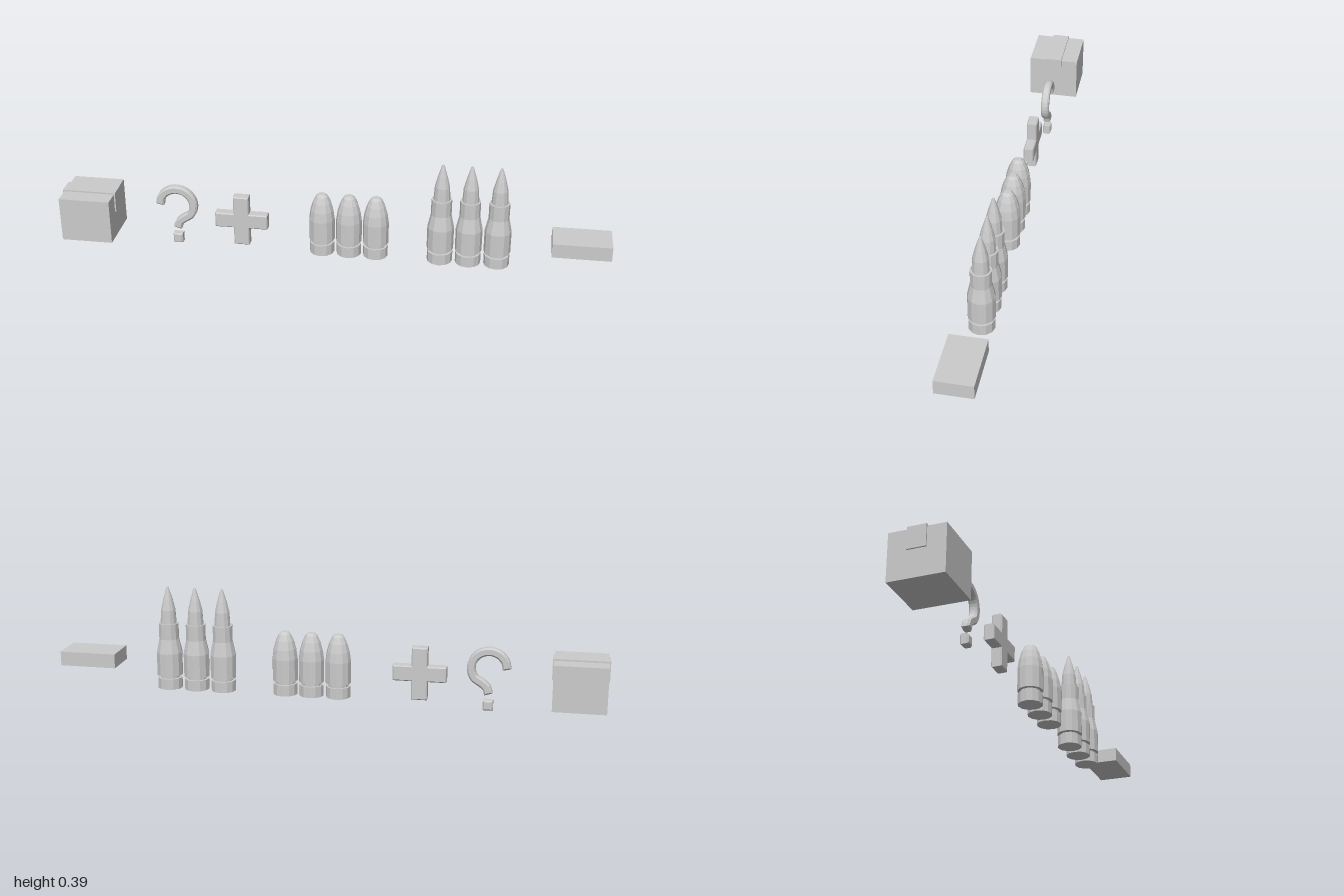
import * as THREE from 'three';

const material = new THREE.MeshStandardMaterial({ color: 0xcccccc, flatShading: true });

function part(name, geometry, x = 0, y = 0, z = 0) {
  const mesh = new THREE.Mesh(geometry, material);
  mesh.name = name;
  mesh.position.set(x, y, z);
  return mesh;
}

// Box given by its lower and upper corners
function block(name, [x0, y0, z0], [x1, y1, z1]) {
  return part(name, new THREE.BoxGeometry(x1 - x0, y1 - y0, z1 - z0),
    (x0 + x1) / 2, (y0 + y1) / 2, (z0 + z1) / 2);
}

// Chamfered extrusion centred on z; the outline keeps its full size
function chamfered(shape, depth, bevel) {
  const geometry = new THREE.ExtrudeGeometry(shape, {
    depth: depth - 2 * bevel, bevelEnabled: true, bevelSegments: 1,
    bevelSize: bevel, bevelThickness: bevel, bevelOffset: -bevel,
  });
  return geometry.translate(0, 0, -depth / 2 + bevel);
}

function rectangle(x0, y0, x1, y1) {
  return new THREE.Shape([[x0, y0], [x1, y0], [x1, y1], [x0, y1]].map((p) => new THREE.Vector2(...p)));
}

// Row of identical turned cartridges
function cartridgeRow(name, profile, xs) {
  const row = new THREE.Group();
  row.name = name;
  const geometry = new THREE.LatheGeometry(profile.map((p) => new THREE.Vector2(...p)), 12);
  xs.forEach((x) => row.add(part('cartridge', geometry, x)));
  return row;
}

// Parcel with a raised tape strip folded over both ends
function createParcel() {
  const parcel = new THREE.Group();
  parcel.name = 'parcel';
  parcel.add(block('carton', [-0.995, 0.033, -0.096], [-0.807, 0.2, 0.096]));
  parcel.add(block('tapeTop', [-1, 0.2, -0.032], [-0.802, 0.206, 0.032]));
  parcel.add(block('tapeEndRight', [-1, 0.13, -0.032], [-0.995, 0.2, 0.032]));
  parcel.add(block('tapeEndLeft', [-0.807, 0.13, -0.032], [-0.802, 0.2, 0.032]));
  return parcel;
}

// Question mark: an even-width stroke along a curve, plus a square dot
function createQuestionMark() {
  const mark = new THREE.Group();
  mark.name = 'questionMark';
  const path = [];
  for (let i = 0; i <= 8; i++) {
    const a = Math.PI * (1 - (i / 8) * 1.19);
    path.push(new THREE.Vector3(0.063 * Math.cos(a), 0.154 + 0.063 * Math.sin(a), 0));
  }
  [[0.025, 0.1], [0.007, 0.084], [0, 0.06]].forEach(([x, y]) => path.push(new THREE.Vector3(x, y, 0)));
  const curve = new THREE.CatmullRomCurve3(path);
  const left = [], right = [];
  for (let i = 0; i <= 24; i++) {
    const p = curve.getPointAt(i / 24), t = curve.getTangentAt(i / 24);
    left.push(new THREE.Vector2(p.x - t.y * 0.015, p.y + t.x * 0.015));
    right.unshift(new THREE.Vector2(p.x + t.y * 0.015, p.y - t.x * 0.015));
  }
  mark.add(part('hook', chamfered(new THREE.Shape([...left, ...right]), 0.03, 0.006)));
  mark.add(part('dot', chamfered(rectangle(-0.018, 0.001, 0.018, 0.038), 0.03, 0.005)));
  mark.position.set(-0.582, 0, -0.015);
  return mark;
}

// Cross with equal arms and lightly chamfered edges
function createCross() {
  const a = 0.0285, b = 0.097;
  const points = [[a, a], [a, b], [-a, b], [-a, a], [-b, a], [-b, -a],
    [-a, -a], [-a, -b], [a, -b], [a, -a], [b, -a], [b, a]];
  const shape = new THREE.Shape(points.map((p) => new THREE.Vector2(...p)));
  return part('cross', chamfered(shape, 0.038, 0.004), -0.335, 0.119, 0);
}

export function createModel() {
  const model = new THREE.Group();
  model.name = 'pickupSet';
  model.add(createParcel(), createQuestionMark(), createCross());

  // Short cartridges with blunt tips
  model.add(cartridgeRow('shortCartridges', [
    [0, 0.013], [0.045, 0.013], [0.045, 0.054], [0.037, 0.054], [0.037, 0.064],
    [0.047, 0.066], [0.047, 0.148], [0.042, 0.184], [0.033, 0.215],
    [0.022, 0.238], [0.012, 0.247], [0, 0.247],
  ], [-0.038, 0.061, 0.159]));

  // Long necked cartridges with pointed tips
  model.add(cartridgeRow('longCartridges', [
    [0, 0.012], [0.046, 0.012], [0.046, 0.052], [0.036, 0.052], [0.036, 0.06],
    [0.048, 0.062], [0.048, 0.148], [0.037, 0.2], [0.037, 0.258], [0.03, 0.258],
    [0.027, 0.308], [0.018, 0.346], [0.004, 0.393], [0, 0.393],
  ], [0.393, 0.495, 0.598]));

  // Flat slab
  model.add(block('slab', [0.79, 0.09, -0.065], [1, 0.143, 0.065]));
  return model;
}
